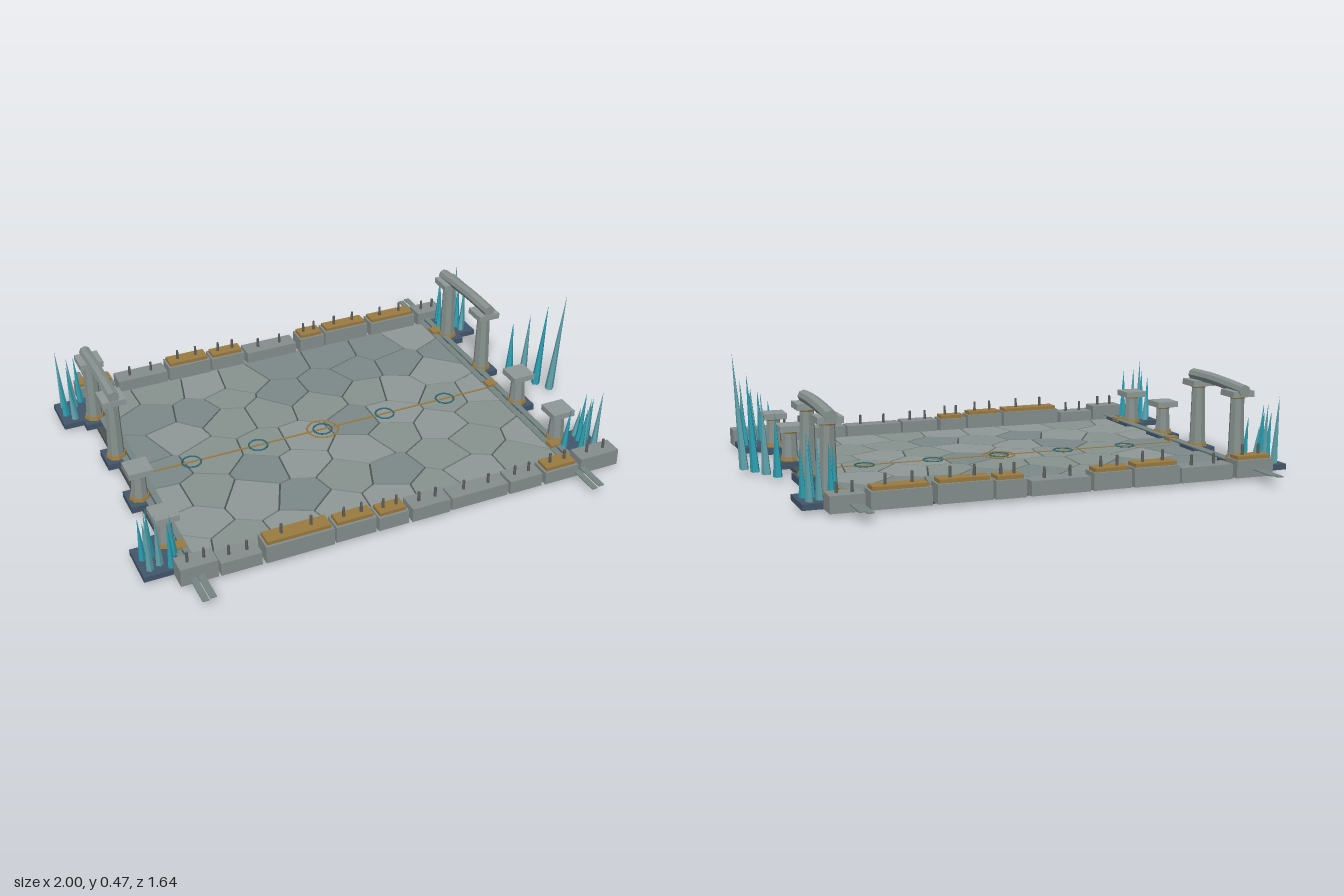
import * as THREE from 'three';

const CX = -0.045; // centre of the court; the spike row stands outside it

const mat = (color) => new THREE.MeshStandardMaterial({ color, flatShading: true });
const M = {
  stone: mat(0x87928f), stoneB: mat(0x7c8988), stoneC: mat(0x8f9997), wall: mat(0x858d8d),
  slab: mat(0x4a5252), gold: mat(0x9a7a40), dark: mat(0x43566a), rail: mat(0x768582),
  crystal: mat(0x2c9fb2), crystalB: mat(0x5fa3ad), ring: mat(0x2f6670), peg: mat(0x5c5f5c),
};

function add(parent, name, geometry, material, x = 0, y = 0, z = 0) {
  const mesh = new THREE.Mesh(geometry, material);
  mesh.name = name;
  mesh.position.set(x, y, z);
  parent.add(mesh);
  return mesh;
}

// Box given by its centre in plan and its lower and upper height
const block = (p, name, m, x, z, w, d, y0, y1) =>
  add(p, name, new THREE.BoxGeometry(w, y1 - y0, d), m, x, (y0 + y1) / 2, z);

function group(parent, name, x = 0, y = 0, z = 0) {
  const g = new THREE.Group();
  g.name = name;
  g.position.set(x, y, z);
  parent.add(g);
  return g;
}

function seeded(seed) {
  return () => (seed = (seed * 16807) % 2147483647) / 2147483647;
}

// Keep the part of a polygon on the near side of a line
function clip(poly, point, normal) {
  const out = [];
  poly.forEach((a, i) => {
    const b = poly[(i + 1) % poly.length];
    const da = a.clone().sub(point).dot(normal), db = b.clone().sub(point).dot(normal);
    if (da <= 0) out.push(a);
    if (da * db < 0) out.push(a.clone().lerp(b, da / (da - db)));
  });
  return out;
}

// Irregular paving: cells around jittered seeds, with open joints
function paving(parent) {
  const floor = group(parent, 'floor', CX);
  const hw = 0.8, hd = 0.62, rand = seeded(4217), seeds = [];
  block(floor, 'floorSlab', M.slab, 0, 0, 1.66, 1.25, 0, 0.015);
  for (let r = 0; r < 7; r++) {
    for (let c = 0; c < 8; c++) {
      seeds.push(new THREE.Vector2(
        -hw + (c + 0.5 + (r % 2 ? 0.22 : -0.22) + (rand() - 0.5) * 0.5) * (hw / 4),
        -hd + (r + 0.5 + (rand() - 0.5) * 0.55) * (2 * hd / 7)));
    }
  }
  seeds.forEach((s, i) => {
    let poly = [[-hw, -hd], [hw, -hd], [hw, hd], [-hw, hd]].map((p) => new THREE.Vector2(...p));
    seeds.forEach((t, j) => {
      if (j === i) return;
      const n = t.clone().sub(s).normalize();
      poly = clip(poly, s.clone().lerp(t, 0.5).addScaledVector(n, -0.0035), n);
    });
    if (poly.length < 3) return;
    const g = new THREE.ExtrudeGeometry(new THREE.Shape(poly), { depth: 0.007, bevelEnabled: false });
    g.rotateX(-Math.PI / 2);
    add(floor, 'pavingStone', g, [M.stone, M.stoneB, M.stoneC][Math.floor(rand() * 3)], 0, 0.014, 0);
  });
}

// Row of wall blocks: [x start, x end, height, gold cap]
function wallRow(parent, name, z, rows) {
  const wall = group(parent, name);
  rows.forEach(([x0, x1, h, gold], i) => {
    const x = (x0 + x1) / 2, w = x1 - x0, d = 0.077 + (i % 3) * 0.004;
    block(wall, 'wallBlock', M.wall, x, z, w, d, 0.013, h);
    if (gold) block(wall, 'goldCap', M.gold, x, z, w - 0.016, d - 0.02, h, h + 0.014);
    const top = gold ? h + 0.014 : h;
    for (const s of [-1, 1]) {
      add(wall, 'peg', new THREE.CylinderGeometry(0.005, 0.006, 0.04, 6), M.peg, x + s * w * 0.22, top + 0.02, z);
    }
  });
}

function pillar(parent, name, z, h) {
  const p = group(parent, name, 0, 0, z);
  block(p, 'plinth', M.dark, 0, 0, 0.1, 0.115, 0.008, 0.034);
  add(p, 'baseRing', new THREE.CylinderGeometry(0.038, 0.042, 0.014, 8), M.gold, 0, 0.041, 0);
  const shaft = h - 0.024 - 0.046;
  add(p, 'shaft', new THREE.CylinderGeometry(0.027, 0.033, shaft, 8), M.stone, 0, 0.046 + shaft / 2, 0);
  add(p, 'neckRing', new THREE.CylinderGeometry(0.033, 0.03, 0.01, 8), M.gold, 0, h - 0.028, 0);
  block(p, 'capital', M.stoneC, 0, 0, 0.095, 0.095, h - 0.024, h);
}

// Leaning five-sided crystal: the base stays put, the tip moves by (dx, dz)
function spike(parent, x, z, h, r, dx, dz, m) {
  const g = new THREE.ConeGeometry(r, h, 5, 3);
  g.translate(0, h / 2, 0);
  const pos = g.attributes.position;
  for (let i = 0; i < pos.count; i++) {
    const t = pos.getY(i) / h;
    pos.setX(i, pos.getX(i) + dx * t);
    pos.setZ(i, pos.getZ(i) + dz * t);
  }
  g.computeVertexNormals();
  add(parent, 'crystal', g, m, x, 0.018, z);
}

// Crystal cluster on a dark plate; sx and sz point outward
function cluster(parent, sx, sz) {
  const c = group(parent, 'crystalCluster', CX + sx * 0.865, 0, sz * 0.528);
  block(c, 'clusterPlate', M.dark, 0, 0, 0.18, 0.172, 0.012, 0.034);
  const spikes = [[0.055, 0.05, 0.28], [0.03, -0.02, 0.24], [0.062, -0.015, 0.21],
    [0.015, 0.035, 0.25], [-0.05, 0.0, 0.2], [-0.02, 0.065, 0.23], [0.035, -0.055, 0.15]];
  spikes.forEach(([x, z, h], i) =>
    spike(c, sx * x, sz * z, h, 0.016, sx * 0.012, sz * 0.012, i % 3 ? M.crystal : M.crystalB));
}

// One long side: pillars, lintel, rail and clusters
function side(parent, sx) {
  const g = group(parent, sx > 0 ? 'leftColonnade' : 'rightColonnade', CX + sx * 0.823);
  pillar(g, 'tallPillar', -0.152, 0.31);
  pillar(g, 'tallPillar', -0.46, 0.31);
  pillar(g, 'shortPillar', 0.152, 0.175);
  pillar(g, 'shortPillar', 0.455, 0.175);

  // Slightly sagging eight-sided lintel
  const path = [[0.326, -0.108], [0.328, -0.24], [0.322, -0.38], [0.312, -0.515]]
    .map(([y, z]) => new THREE.Vector3(0, y, z));
  add(g, 'lintel', new THREE.TubeGeometry(new THREE.CatmullRomCurve3(path), 6, 0.024, 8), M.stone);
  for (const i of [0, 3]) {
    const cap = add(g, 'lintelEnd', new THREE.CircleGeometry(0.024, 8), M.stone, 0, path[i].y, path[i].z);
    if (i === 3) cap.rotation.y = Math.PI;
  }

  // Double rail running past both walls
  const rail = group(parent, 'rail', CX + sx * 0.785);
  block(rail, 'railStrip', M.rail, -0.014, 0, 0.024, 1.64, 0.034, 0.038);
  block(rail, 'railStrip', M.rail, 0.014, 0, 0.024, 1.64, 0.04, 0.044);
  for (const z of [-0.5, 0, 0.5]) block(rail, 'railClasp', M.gold, 0, z, 0.045, 0.045, 0.03, 0.047);
  for (const sz of [-1, 1]) cluster(parent, sx, sz);
}

export function createModel() {
  const model = new THREE.Group();
  model.name = 'crystalCourt';
  paving(model);

  // Gold centre line with inlaid rings
  const inlay = group(model, 'inlay', CX, 0.022, 0);
  add(inlay, 'centreLine', new THREE.BoxGeometry(1.57, 0.003, 0.008), M.gold);
  const ring = (name, x, r, m) => {
    add(inlay, name, new THREE.TorusGeometry(r, 0.004, 5, 24), m, x, 0, 0).rotation.x = Math.PI / 2;
  };
  for (let i = -2; i <= 2; i++) ring('smallRing', i * 0.282, 0.038, M.ring);
  ring('largeRing', 0, 0.063, M.gold);

  wallRow(model, 'frontWall', 0.651, [
    [-0.89, -0.75, 0.085, 0], [-0.74, -0.585, 0.066, 0], [-0.57, -0.305, 0.084, 1],
    [-0.295, -0.135, 0.08, 1], [-0.125, -0.003, 0.07, 1], [0.013, 0.17, 0.07, 0],
    [0.18, 0.42, 0.066, 0], [0.43, 0.57, 0.068, 0], [0.585, 0.73, 0.066, 1], [0.745, 0.915, 0.08, 0]]);
  wallRow(model, 'backWall', -0.655, [
    [-0.89, -0.735, 0.08, 1], [-0.715, -0.5, 0.07, 0], [-0.49, -0.305, 0.084, 1],
    [-0.295, -0.145, 0.078, 1], [-0.13, 0.1, 0.068, 0], [0.12, 0.235, 0.08, 1],
    [0.245, 0.45, 0.084, 1], [0.47, 0.69, 0.078, 1], [0.71, 0.835, 0.075, 0]]);

  for (const sx of [-1, 1]) side(model, sx);

  // Row of tall spikes rising along the left edge
  const row = group(model, 'spikeRow');
  for (let i = 0; i < 4; i++) {
    spike(row, 0.875 + i * 0.031, -0.075 + i * 0.06, 0.245 + i * 0.068, 0.019,
      0.008 + i * 0.008, -0.004 + i * 0.008, i % 2 ? M.crystalB : M.crystal);
  }
  return model;
}
